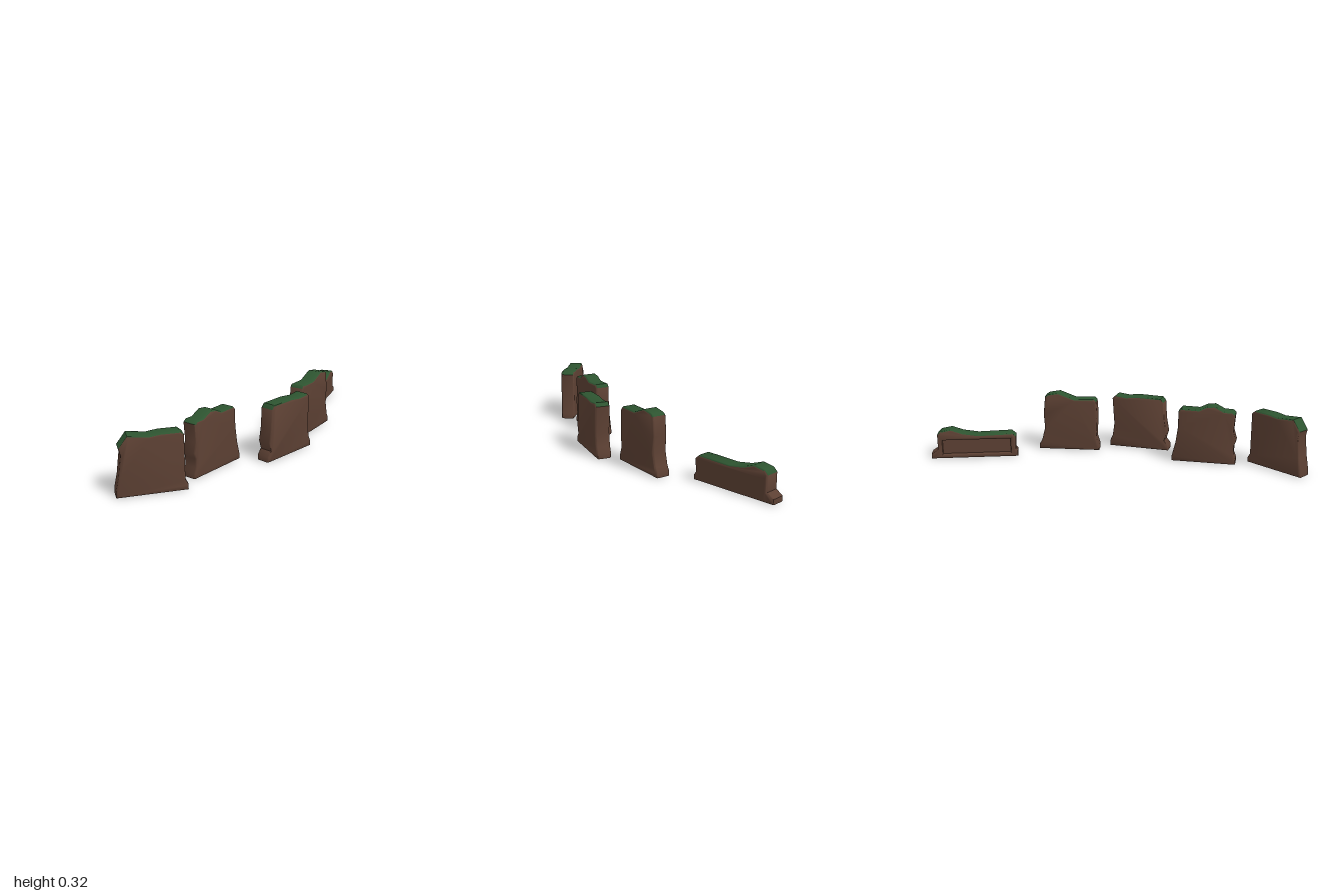
import * as THREE from 'three';
import { toCreasedNormals } from 'three/addons/utils/BufferGeometryUtils.js';

const earth = new THREE.MeshStandardMaterial({ color: 0x5c4033 });
const moss = new THREE.MeshStandardMaterial({ color: 0x2d5430 });
earth.name = 'earth brown';
moss.name = 'moss green';

const THICK = 0.08, BEVEL = 0.01, FOOT = 0.027;

// Splits a triangle soup into the faces that fail a test and those that pass it
function split(geometry, test) {
  const p = geometry.attributes.position, n = geometry.attributes.normal;
  const a = new THREE.Vector3(), b = new THREE.Vector3(), c = new THREE.Vector3();
  const sets = [{ p: [], n: [] }, { p: [], n: [] }];
  for (let i = 0; i < p.count; i += 3) {
    a.fromBufferAttribute(p, i);
    b.fromBufferAttribute(p, i + 1);
    c.fromBufferAttribute(p, i + 2);
    const y = (a.y + b.y + c.y) / 3;
    const up = b.sub(a).cross(c.sub(a)).normalize().y;
    const set = sets[test(y, up) ? 1 : 0];
    for (let j = i; j < i + 3; j++) {
      set.p.push(p.getX(j), p.getY(j), p.getZ(j));
      set.n.push(n.getX(j), n.getY(j), n.getZ(j));
    }
  }
  return sets.map((s) => {
    const g = new THREE.BufferGeometry();
    g.setAttribute('position', new THREE.Float32BufferAttribute(s.p, 3));
    g.setAttribute('normal', new THREE.Float32BufferAttribute(s.n, 3));
    return g;
  });
}

function addMesh(group, name, geometry, material) {
  const mesh = new THREE.Mesh(geometry, material);
  mesh.name = name;
  group.add(mesh);
  return mesh;
}

// A rounded slab standing on the ground line from -> to (x, z).
// The foot spans z = near to far; the outline [z, y] runs over the top between them.
function makeWall(name, from, to, near, far, outline, recess) {
  const wall = new THREE.Group();
  wall.name = name;
  const dx = to[0] - from[0], dz = to[1] - from[1], length = Math.hypot(dx, dz);
  const profile = [[near, 0], [near, FOOT], ...outline, [far, FOOT], [far, 0]];
  const shape = new THREE.Shape(
    profile.map(([z, y]) => new THREE.Vector2(((z - far) / (near - far)) * length, y)));

  // Sunken panel: a framed opening closed by a thick backing
  if (recess) {
    const [u0, u1, y0, y1] = recess;
    shape.holes.push(new THREE.Path([[u0, y0], [u0, y1], [u1, y1], [u1, y0]].map((q) => new THREE.Vector2(...q))));
    const depth = THICK - 0.02;
    const back = new THREE.BoxGeometry(u1 - u0 + 2 * BEVEL, y1 - y0 + 2 * BEVEL, depth);
    addMesh(wall, 'sunkenPanel', back, earth).position.set((u0 + u1) / 2, (y0 + y1) / 2, (depth - THICK) / 2);
  }

  // Rounded body, with moss on its upward faces
  const slab = new THREE.ExtrudeGeometry(shape, {
    depth: THICK - 2 * BEVEL, bevelThickness: BEVEL, bevelSize: BEVEL, bevelOffset: -BEVEL, bevelSegments: 3,
  });
  slab.translate(0, 0, BEVEL - THICK / 2);
  slab.deleteAttribute('uv');
  const [body, top] = split(toCreasedNormals(slab, 0.85), (y, up) => y > 0.115 && up > 0.55);
  addMesh(wall, 'earthBody', body, earth);
  addMesh(wall, 'mossTop', top, moss);

  wall.position.set(from[0], 0, from[1]);
  wall.rotation.y = Math.atan2(-dz, dx);
  return wall;
}

export function createModel() {
  const model = new THREE.Group();
  model.name = 'earthWalls';

  // Low wall at the back, with the sunken panel
  model.add(makeWall('lowWall', [-0.22, -0.985], [-0.076, -0.55], -0.54, -1, [
    [-0.55, 0.04], [-0.547, 0.11], [-0.57, 0.13], [-0.75, 0.125], [-0.83, 0.138],
    [-0.89, 0.16], [-0.945, 0.15], [-0.965, 0.13], [-0.965, 0.05],
  ], [0.06, 0.42, 0.022, 0.1]));

  // Wall with a raised peak
  model.add(makeWall('peakedWall', [0.075, -0.47], [0.115, -0.14], -0.13, -0.475, [
    [-0.145, 0.07], [-0.14, 0.2], [-0.145, 0.275], [-0.16, 0.29], [-0.27, 0.287], [-0.36, 0.32],
    [-0.42, 0.31], [-0.437, 0.298], [-0.447, 0.2], [-0.442, 0.12], [-0.46, 0.05],
  ]));

  // Outermost wall, nearly level on top
  model.add(makeWall('outerWall', [0.216, -0.095], [0.192, 0.238], 0.245, -0.095, [
    [0.222, 0.055], [0.235, 0.1], [0.222, 0.17], [0.215, 0.27], [0.198, 0.29], [0.07, 0.293],
    [0, 0.286], [-0.06, 0.293], [-0.08, 0.275], [-0.07, 0.13], [-0.08, 0.06],
  ]));

  // Wall with a notched end and a hump on top
  model.add(makeWall('humpedWall', [0.04, 0.28], [0.043, 0.615], 0.615, 0.285, [
    [0.604, 0.055], [0.604, 0.1], [0.615, 0.13], [0.6, 0.18], [0.607, 0.272], [0.59, 0.285], [0.55, 0.285],
    [0.5, 0.311], [0.46, 0.306], [0.42, 0.286], [0.33, 0.288], [0.315, 0.27], [0.315, 0.19], [0.303, 0.1],
  ]));

  // Turned wall at the front
  model.add(makeWall('frontWall', [0.105, 0.695], [-0.081, 0.967], 1, 0.682, [
    [0.985, 0.1], [0.972, 0.2], [0.98, 0.235], [0.94, 0.291], [0.85, 0.28],
    [0.8, 0.287], [0.715, 0.287], [0.695, 0.27], [0.695, 0.05],
  ]));
  return model;
}
